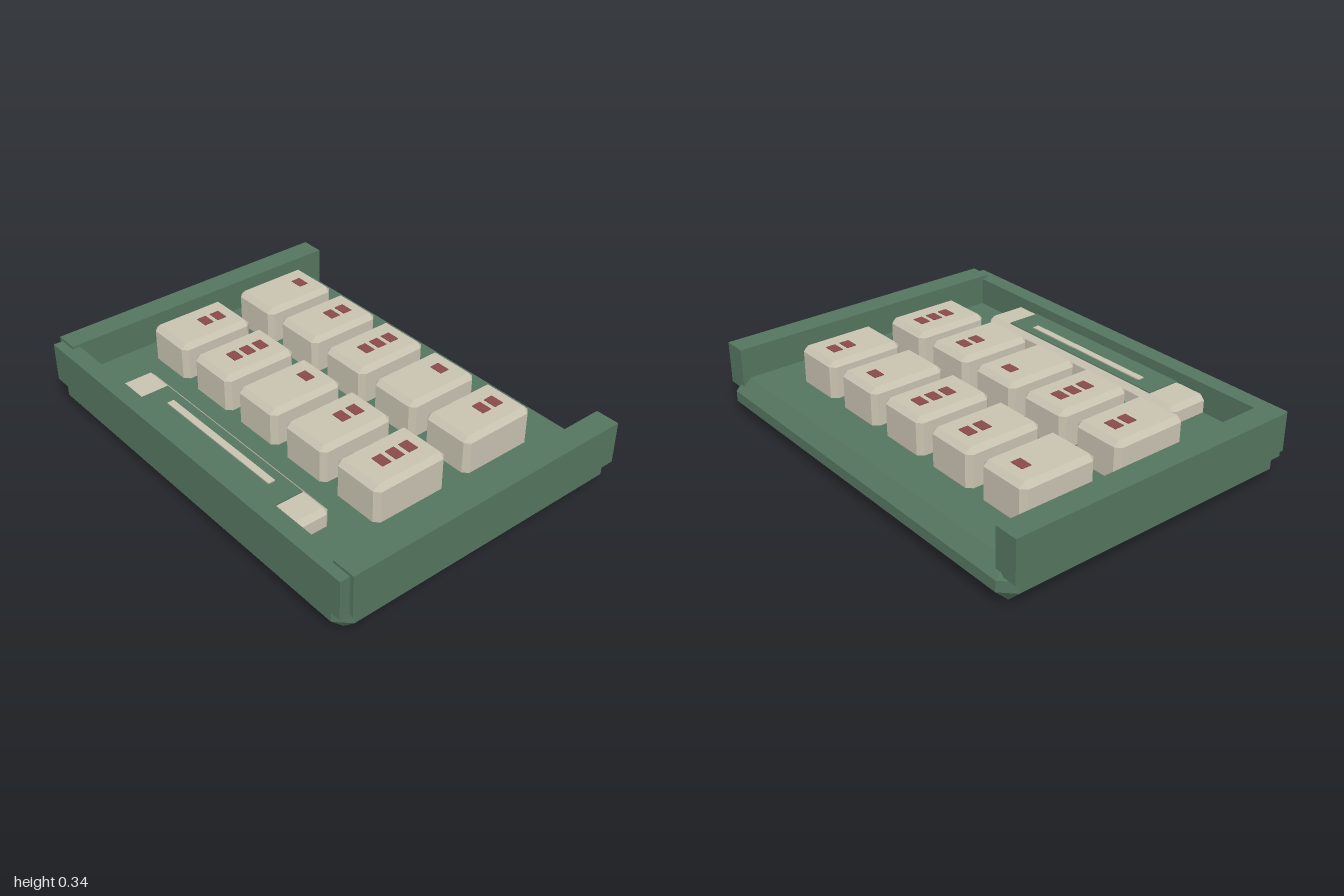
import * as THREE from 'three';
import { ConvexGeometry } from 'three/addons/geometries/ConvexGeometry.js';

const paint = (name, color) => Object.assign(new THREE.MeshStandardMaterial({ color }), { name });

// Box between two corners; a chamfer c above 0 cuts all twelve edges at 45 degrees
function block(name, material, [x0, x1], [y0, y1], [z0, z1], c = 0) {
  const hx = (x1 - x0) / 2, hy = (y1 - y0) / 2, hz = (z1 - z0) / 2;
  let geometry;
  if (c > 0) {
    const points = [];
    for (const x of [-1, 1]) for (const y of [-1, 1]) for (const z of [-1, 1]) {
      points.push(
        new THREE.Vector3(x * hx, y * (hy - c), z * (hz - c)),
        new THREE.Vector3(x * (hx - c), y * hy, z * (hz - c)),
        new THREE.Vector3(x * (hx - c), y * (hy - c), z * hz));
    }
    geometry = new ConvexGeometry(points);
  } else {
    geometry = new THREE.BoxGeometry(2 * hx, 2 * hy, 2 * hz);
  }
  const mesh = new THREE.Mesh(geometry, material);
  mesh.name = name;
  mesh.position.set((x0 + x1) / 2, (y0 + y1) / 2, (z0 + z1) / 2);
  return mesh;
}

const around = (centre, size) => [centre - size / 2, centre + size / 2];

export function createModel() {
  const green = paint('caseGreen', 0x55755f);
  const cream = paint('keyCream', 0xc8c2b0);
  const red = paint('markRed', 0x8a4a4a);
  const model = new THREE.Group();
  model.name = 'keypad';

  // Tray with chamfered edges, open at the back
  model.add(block('base', green, [-0.98, 0.98], [0, 0.17], [-0.735, 0.725], 0.06));
  model.add(block('frontPanel', green, [-0.98, 0.98], [0.12, 0.302], [0.655, 0.735]));
  model.add(block('rightRail', green, [-1, -0.89], [0.12, 0.315], [-0.71, 0.69]));
  model.add(block('leftRail', green, [0.89, 1], [0.12, 0.315], [-0.71, 0.69]));

  // Two rows of five keys, each with one to three marks
  for (let row = 0; row < 2; row++) {
    for (let col = 0; col < 5; col++) {
      const x = -0.665 + 0.316 * col;
      const z = -0.318 + 0.473 * row;
      const key = new THREE.Group();
      key.name = `key${row * 5 + col + 1}`;
      key.add(block('keyCap', cream, around(x, 0.25), [0.14, 0.34], around(z, 0.365), 0.023));
      for (let i = 0; i <= (row + col) % 3; i++) {
        key.add(block('keyMark', red, around(x, 0.064), [0.338, 0.343],
          around(z - 0.087 + 0.069 * i, 0.046)));
      }
      model.add(key);
    }
  }

  // Wide bar tucked against the front panel, with an inlay and a slim stripe
  model.add(block('wideBar', cream, [-0.61, 0.61], [0.14, 0.25], [0.465, 0.71], 0.022));
  model.add(block('barInlay', green, [-0.45, 0.47], [0.247, 0.255], [0.49, 0.68]));
  model.add(block('barStripe', cream, [-0.34, 0.355], [0.252, 0.26], [0.533, 0.565]));
  return model;
}
